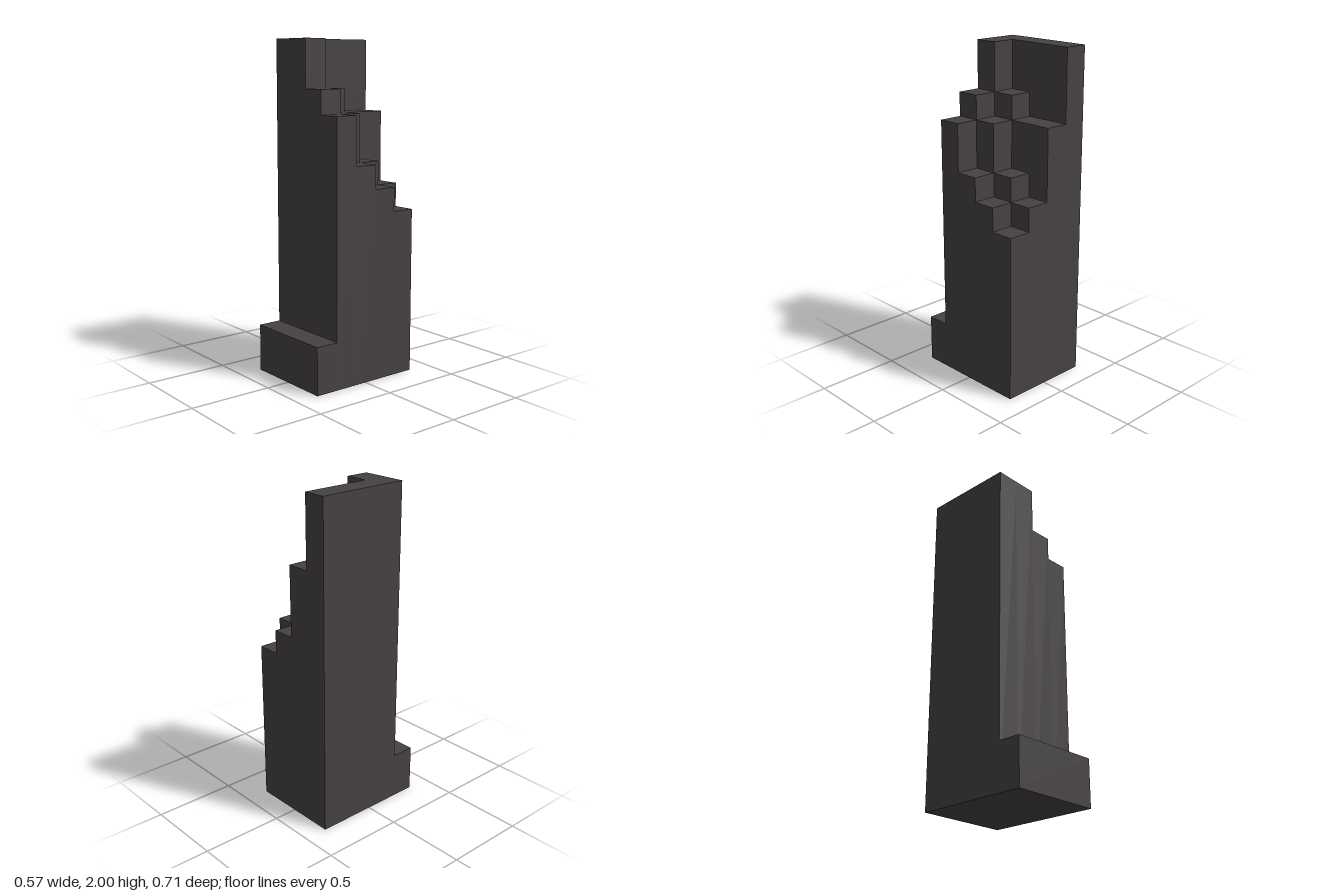
import * as THREE from 'three';
import { mergeGeometries } from 'three/addons/utils/BufferGeometryUtils.js';

const U = 1 / 7; // edge of one block

// Block heights, rows from back to front, columns from -x to +x
const HEIGHTS = [
  [14, 11, 8, 7],
  [14, 11, 9, 8],
  [14, 12, 11, 9],
  [14, 14, 12, 11],
];

// Outer skin of a block of columns: tops, exposed walls and one underside
function columnSkin(heights) {
  const rows = heights.length, cols = heights[0].length, faces = [];
  const at = (r, c) => heights[r]?.[c] ?? 0;
  heights.forEach((row, r) => row.forEach((h, c) => {
    const x = c + 0.5, z = r + 0.5;
    faces.push(new THREE.PlaneGeometry(1, 1).rotateX(-Math.PI / 2).translate(x, h, z));
    for (const [dx, dz] of [[1, 0], [-1, 0], [0, 1], [0, -1]]) {
      const low = at(r + dz, c + dx);
      if (low >= h) continue;
      faces.push(new THREE.PlaneGeometry(1, h - low)
        .rotateY(Math.atan2(dx, dz))
        .translate(x + dx / 2, (h + low) / 2, z + dz / 2));
    }
  }));
  faces.push(new THREE.PlaneGeometry(cols, rows).rotateX(Math.PI / 2).translate(cols / 2, 0, rows / 2));
  return mergeGeometries(faces).scale(U, U, U);
}

export function createModel() {
  const model = new THREE.Group();
  model.name = 'brokenPillar';
  const stone = new THREE.MeshStandardMaterial({ color: 0x464241 });
  stone.name = 'darkStone';

  // Pillar with a crumbled, stepped top
  const pillar = new THREE.Mesh(columnSkin(HEIGHTS), stone);
  pillar.name = 'pillar';
  pillar.position.set(-2 * U, 0, -2.5 * U);

  // Plinth along the front foot
  const plinth = new THREE.Mesh(new THREE.BoxGeometry(4 * U, 2 * U, U), stone);
  plinth.name = 'frontPlinth';
  plinth.position.set(0, U, 2 * U);

  model.add(pillar, plinth);
  return model;
}
